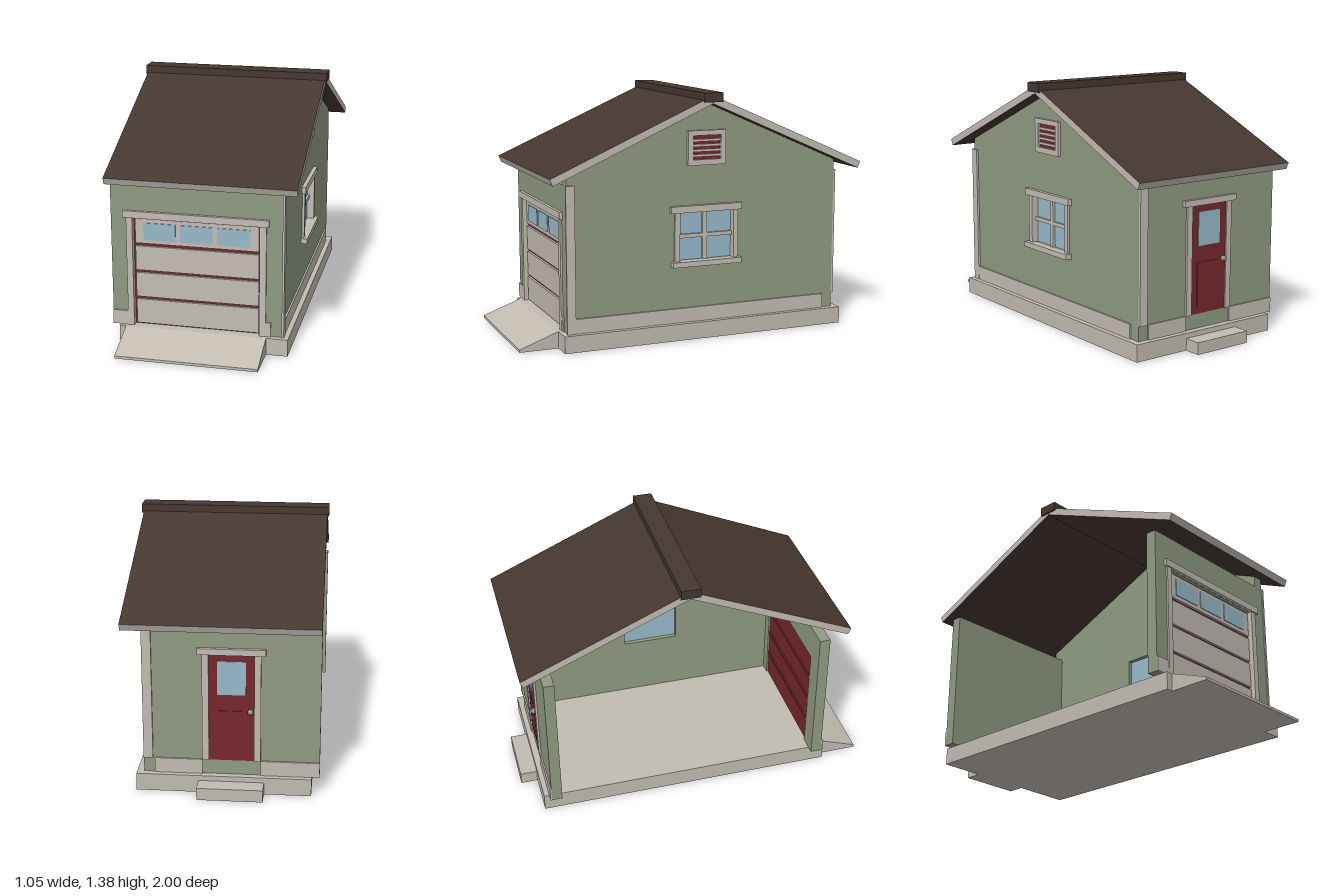
import * as THREE from 'three';

const mat = (name, color) => {
  const m = new THREE.MeshStandardMaterial({ color });
  m.name = name;
  return m;
};

export function createModel() {
  const wall = mat('sage wall', 0x8f9b81);
  const trim = mat('pale trim', 0xc3bcb3);
  const concrete = mat('concrete', 0xc2bcb1);
  const roofing = mat('brown roofing', 0x45372f);
  const red = mat('dark red', 0x77282d);
  const glass = mat('blue glass', 0x98b9cb);
  const metal = mat('knob metal', 0x8f8b80);

  const model = new THREE.Group();
  model.name = 'garage';
  const group = (name) => {
    const g = new THREE.Group();
    g.name = name;
    model.add(g);
    return g;
  };
  const add = (parent, name, geo, material) => {
    const m = new THREE.Mesh(geo, material);
    m.name = name;
    parent.add(m);
    return m;
  };
  // Box given by its limits on each axis
  const box = (parent, name, material, [x0, x1], [y0, y1], [z0, z1]) => {
    const m = add(parent, name, new THREE.BoxGeometry(x1 - x0, y1 - y0, z1 - z0), material);
    m.position.set((x0 + x1) / 2, (y0 + y1) / 2, (z0 + z1) / 2);
    return m;
  };
  // Side profile (z, y) extruded from x1 down to x0
  const profile = (parent, name, material, points, x0, x1, hole) => {
    const shape = new THREE.Shape(points.map(p => new THREE.Vector2(...p)));
    if (hole) shape.holes.push(new THREE.Path(hole.map(p => new THREE.Vector2(...p))));
    const geo = new THREE.ExtrudeGeometry(shape, { depth: x1 - x0, bevelEnabled: false });
    geo.rotateY(-Math.PI / 2).translate(x1, 0, 0);
    return add(parent, name, geo, material);
  };

  const cut = -0.518, base = 0.095, mid = -0.06;

  // Foundation, ramp and back step
  const ground = group('foundation');
  box(ground, 'slab', concrete, [-0.476, 0.458], [0, base], [-0.905, 0.78]);
  profile(ground, 'ramp', concrete, [[0.78, 0], [1, 0], [1, 0.015], [0.78, base]], -0.44, 0.34);
  box(ground, 'backStep', concrete, [-0.225, 0.125], [0, 0.067], [-1, -0.905]);

  // Walls; the -x side is open
  const walls = group('walls');
  profile(walls, 'gableWall', wall,
    [[-0.868, base], [0.75, base], [0.75, 0.967], [mid, 1.32], [-0.868, 0.967]], 0.36, 0.42,
    [[-0.225, 0.445], [-0.225, 0.72], [0.1, 0.72], [0.1, 0.445]]);
  box(walls, 'backWall', wall, [cut, 0.36], [base, 0.905], [-0.868, -0.808]);
  box(walls, 'frontPierRight', wall, [cut, -0.4], [base, 0.903], [0.69, 0.75]);
  box(walls, 'frontPierLeft', wall, [0.3, 0.36], [base, 0.903], [0.69, 0.75]);
  box(walls, 'frontLintel', wall, [-0.4, 0.3], [0.715, 0.903], [0.69, 0.75]);

  // Corner boards and skirting
  const boards = group('wallTrim');
  box(boards, 'frontCornerBoard', trim, [0.42, 0.432], [base, 0.905], [0.707, 0.757]);
  box(boards, 'backCornerBoard', trim, [0.37, 0.42], [0.177, 0.905], [-0.88, -0.868]);
  box(boards, 'sideSkirting', trim, [0.42, 0.43], [base, 0.177], [-0.805, 0.707]);
  for (const xs of [[cut, -0.432], [0.334, 0.36]])
    box(boards, 'frontSkirting', trim, xs, [base, 0.175], [0.75, 0.758]);
  for (const xs of [[cut, -0.205], [0.105, 0.36]])
    box(boards, 'backSkirting', trim, xs, [base, 0.177], [-0.876, -0.868]);

  // Roof slopes with pale edges, and the ridge cap
  const roof = group('roof');
  const run = 0.912, drop = 0.398, pitch = Math.atan2(drop, run);
  for (const s of [1, -1]) {
    const geo = new THREE.BoxGeometry(1.031, 0.04, Math.hypot(run, drop));
    const slope = add(roof, s > 0 ? 'frontSlope' : 'backSlope', geo,
      [trim, trim, roofing, roofing, trim, trim]);
    slope.rotation.x = s * pitch;
    slope.position.set(-0.0025, 1.321 - drop / 2 + 0.02 * Math.cos(pitch),
      mid + s * (run / 2 + 0.02 * Math.sin(pitch)));
  }
  box(roof, 'ridgeCap', roofing, [-0.527, 0.524], [1.33, 1.381], [-0.115, -0.005]);

  // Garage door
  const door = group('garageDoor');
  box(door, 'doorBacking', red, [-0.4, 0.3], [base, 0.715], [0.7, 0.725]);
  for (const [y0, y1] of [[0.103, 0.243], [0.258, 0.397], [0.412, 0.55], [0.567, 0.705]])
    box(door, 'doorPanel', trim, [-0.387, 0.291], [y0, y1], [0.725, 0.738]);
  for (const y of [0.25, 0.405, 0.559])
    box(door, 'innerRib', red, [-0.4, 0.3], [y - 0.008, y + 0.008], [0.692, 0.7]);
  for (const x of [-0.341, -0.137, 0.068])
    box(door, 'doorPane', glass, [x, x + 0.177], [0.588, 0.684], [0.738, 0.742]);
  for (const xs of [[-0.432, -0.398], [0.298, 0.334]])
    box(door, 'doorJamb', trim, xs, [base, 0.716], [0.725, 0.76]);
  box(door, 'doorHeader', trim, [-0.449, 0.349], [0.716, 0.754], [0.75, 0.768]);

  // Side window
  const win = group('sideWindow');
  box(win, 'windowGlass', glass, [0.385, 0.393], [0.445, 0.72], [-0.225, 0.1]);
  box(win, 'uprightBar', trim, [0.393, 0.408], [0.445, 0.72], [mid - 0.013, mid + 0.013]);
  box(win, 'crossBar', trim, [0.393, 0.406], [0.57, 0.592], [-0.225, 0.1]);
  for (const zs of [[0.1, 0.13], [-0.253, -0.225]])
    box(win, 'windowJamb', trim, [0.39, 0.434], [0.445, 0.72], zs);
  box(win, 'windowHeader', trim, [0.41, 0.443], [0.718, 0.756], [-0.272, 0.155]);
  box(win, 'windowSill', trim, [0.39, 0.455], [0.415, 0.445], [-0.268, 0.148]);

  // Gable vent
  const vent = group('gableVent');
  box(vent, 'ventBacking', red, [0.42, 0.425], [1, 1.15], [-0.15, 0.03]);
  for (const zs of [[0.024, 0.055], [-0.172, -0.143]])
    box(vent, 'ventSide', trim, [0.42, 0.438], [0.978, 1.17], zs);
  for (const ys of [[0.978, 1.009], [1.142, 1.17]])
    box(vent, 'ventRail', trim, [0.42, 0.438], ys, [-0.143, 0.024]);
  for (let i = 0; i < 4; i++) {
    const y = 1.031 + i * 0.028;
    box(vent, 'ventSlat', trim, [0.42, 0.433], [y - 0.007, y + 0.007], [-0.143, 0.024]);
  }

  // Back door
  const back = group('backDoor');
  box(back, 'backDoorLeaf', red, [-0.17, 0.07], [0.177, 0.772], [-0.873, -0.868]);
  box(back, 'backDoorPanel', red, [-0.13, 0.03], [0.22, 0.46], [-0.877, -0.873]);
  box(back, 'backDoorPane', glass, [-0.125, 0.025], [0.55, 0.735], [-0.877, -0.873]);
  for (const xs of [[0.07, 0.105], [-0.205, -0.17]])
    box(back, 'backDoorJamb', trim, xs, [0.177, 0.772], [-0.88, -0.868]);
  box(back, 'backDoorHeader', trim, [-0.23, 0.13], [0.772, 0.806], [-0.888, -0.868]);
  const knob = add(back, 'doorKnob', new THREE.SphereGeometry(0.016, 16, 12), metal);
  knob.position.set(-0.15, 0.46, -0.884);

  return model;
}
